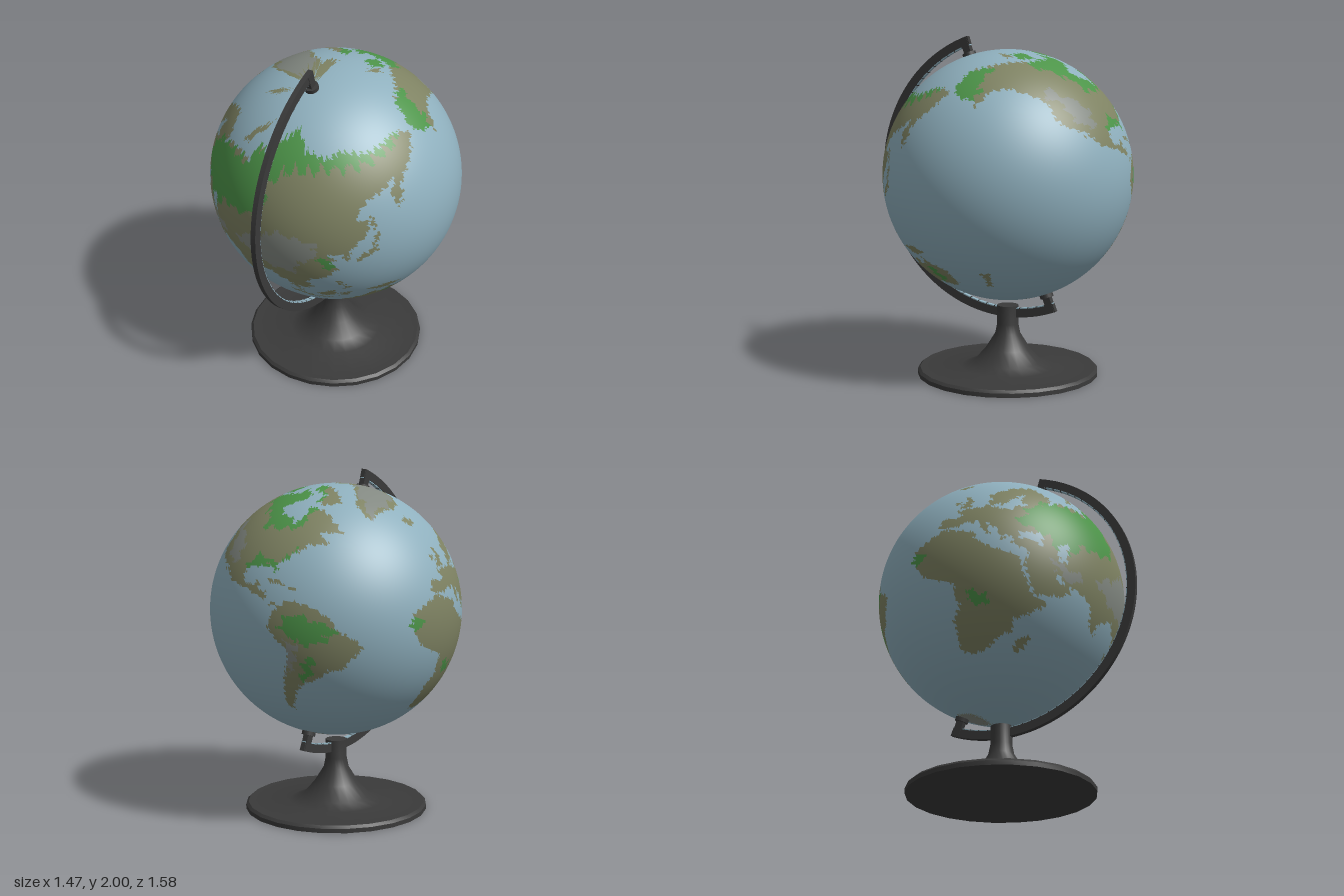
import * as THREE from 'three';
import { toCreasedNormals } from 'three/addons/utils/BufferGeometryUtils.js';

const flat = (name, color) => {
  const m = new THREE.MeshStandardMaterial({ color });
  m.name = name;
  return m;
};

const R = 0.734;                       // globe radius
const TILT = THREE.MathUtils.degToRad(20);
const CENTRE = [0, 1.19, -0.06];

// Coast outlines as longitude, latitude pairs
const LAND = {
  siberia: [60, 50, 60, 69, 68, 68, 70, 73, 80, 72, 87, 75, 104, 77.5, 113, 74, 128, 72, 140, 72.5, 160, 69.5, 180, 69, 190, 66,
    178, 62, 170, 60, 163, 58, 162, 55, 157, 51, 156, 57, 163, 61.5, 155, 59.5, 143, 59, 135, 54.5, 141, 52, 140, 50],
  asia: [53, 51, 141, 51, 139, 47, 132, 43, 128, 39, 129, 35.5, 126, 35, 125, 39.5, 121, 40, 118, 38.5, 122, 37, 119, 35, 122, 30,
    117, 23.5, 110, 21, 106, 19, 109, 12, 105, 9, 101, 13, 103, 2, 100, 7, 98, 14, 94, 17, 90, 22, 87, 21, 80, 15, 80, 11, 77.5, 8,
    73, 17, 72, 21, 67, 25, 57, 26, 51, 29, 48, 30, 44, 37, 50, 37, 54, 37, 53, 45],
  middleEast: [48, 42, 50, 37, 48, 30, 50, 29, 51.5, 24.5, 56, 26, 59.5, 22.5, 55, 17.5, 45, 12.8, 43, 13, 39, 21, 35, 28, 36, 36,
    30, 36.5, 27, 37, 27, 40.5, 35, 42, 41, 41],
  europe: [61, 52, 61, 69, 44, 67, 40, 64, 37, 65, 41, 67, 30, 70, 25, 71, 14, 68, 5, 61, 8, 58, 12, 56, 16, 56.5, 18, 60, 21, 64,
    25, 65.5, 22, 61, 29, 60, 23, 58.5, 20, 54.5, 11, 54, 10, 57.5, 8, 57, 8, 54, -1, 49.5, -5, 48.5, -1, 46, -2, 43.5, -9, 43,
    -9, 37, -5.5, 36, 0, 39, 3, 42, 9, 44, 15, 38, 16, 40, 13, 44.5, 19, 42, 23, 36.5, 24, 40.5, 29, 41, 29, 45, 33, 46, 39, 47,
    41, 41, 48, 42, 48, 46, 53, 47, 61, 50],
  britain: [-5, 50, 1, 51, 0, 53, -2, 56, -3, 58.5, -6, 57, -3, 54, -5, 52],
  ireland: [-10, 52, -6, 52, -6, 55, -9, 54],
  africa: [-6, 36, 10, 37, 11, 33.5, 20, 31, 32, 31, 37, 21, 43, 11.5, 51, 11.5, 46, 2, 39, -6, 40, -15, 35, -20, 33, -27, 27, -34,
    18, -34, 12, -18, 13, -8, 9, -1, 9, 4, -8, 4.5, -17, 14, -17, 21, -10, 30],
  madagascar: [44, -17, 49, -12, 50, -16, 47, -25, 44, -24],
  australia: [114, -22, 122, -18, 129, -15, 132, -11.5, 136, -12, 136, -16, 141, -17, 142.5, -11, 146, -19, 153, -26, 150, -37,
    144, -39, 138, -35, 132, -32, 124, -33.5, 116, -35],
  newGuinea: [131, -1, 141, -2.5, 150, -10, 143, -9, 138, -8],
  borneo: [109, 1, 117, 7, 118, 1, 115, -4, 110, -3],
  sumatra: [95, 5.5, 98, 4, 106, -4, 105, -6, 100, -1],
  java: [105, -6, 114, -7, 114, -8.5, 106, -7.5],
  sulawesi: [119, -5, 120, 1, 125, 1, 122, -5],
  philippines: [120, 18, 122, 18, 122, 13, 126, 7, 122, 8, 122, 12, 120, 14],
  ceylon: [80, 9.5, 82, 7.5, 80.5, 6],
  japan: [130, 32, 136, 34, 141, 36, 141, 41, 145, 43.5, 142, 45.5, 139, 38, 132, 35.5],
  sakhalin: [142, 46, 143.5, 49, 143, 54, 142, 54],
  newZealand: [167, -46, 172, -40, 173, -35, 178, -38, 171, -46],
  iceland: [-24, 65, -20, 63.5, -14, 65, -16, 66.5, -23, 66.3],
  northIslands: [52, 71, 57, 71, 68, 77, 58, 75],
  polarIslands: [11, 79, 17, 77, 25, 79.5, 18, 80],
  greenland: [-44, 60, -53, 66, -54, 70, -60, 75.5, -72, 78, -62, 81.5, -30, 82, -18, 80, -20, 74, -24, 70, -38, 65.5],
  northAmerica: [-168, 66, -156, 71, -128, 70, -114, 68, -95, 68, -94, 71, -85, 68, -82, 67, -87, 64, -94, 61, -93, 58.5, -82, 55,
    -80, 51.5, -79, 54.5, -77, 57.5, -78, 62, -70, 61, -65, 59, -60, 55, -56, 52, -66, 50, -65, 48, -60, 46, -66, 44, -70, 43,
    -70, 41.5, -76, 37, -76, 35, -81, 31, -80, 25.5, -83, 29.5, -90, 29.5, -97, 28, -97, 21, -95, 18.5, -91, 19, -87, 21.5, -88, 16,
    -83.5, 15, -83, 10, -78, 9, -80, 7.5, -86, 12, -95, 16, -105, 20, -109, 25.5, -113, 31, -115, 31, -110, 23, -117, 33, -121, 35,
    -124, 40, -124, 48, -130, 54, -139, 59.5, -148, 60.5, -158, 56.5, -157, 59, -165, 62],
  baffin: [-62, 66, -68, 63, -78, 65, -73, 68, -88, 71, -88, 73.5, -78, 73, -68, 70],
  victoria: [-117, 70, -105, 69, -105, 73, -117, 73],
  banks: [-125, 72, -120, 72, -118, 74, -123, 74.5],
  ellesmere: [-90, 77, -78, 76.5, -64, 81.5, -90, 81],
  cuba: [-85, 22, -80, 23.3, -74, 20, -78, 20],
  hispaniola: [-74, 18, -69, 18, -70, 20, -73, 20],
  southAmerica: [-72, 12, -62, 10.5, -51, 4.5, -50, 0, -44, -2.5, -35, -6, -39, -15, -41, -22, -48, -26, -53, -33, -58, -36,
    -62, -39, -65, -43, -66, -48, -69, -52, -66, -55, -74, -52, -73, -40, -71, -30, -70, -18, -76, -14, -81, -6, -80, 1, -77, 7],
  antarctica: [-10, -71, 30, -69, 50, -66.5, 110, -66, 145, -67, 168, -71, 168, -90, -10, -90],
};
const LOWLAND = {
  westPlain: [25, 50, 30, 60, 40, 66, 65, 68, 72, 73, 88, 73, 88, 58, 75, 52, 60, 50, 55, 43, 48, 43, 42, 47],
  arcticCoast: [85, 72, 88, 78, 115, 78, 185, 72, 180, 67.5, 150, 68, 125, 70, 100, 70, 85, 65],
  amazon: [-75, -2, -70, 3, -66, 4, -58, 2, -50, 1, -50, -3, -55, -10, -62, -14, -73, -8],
  parana: [-62, -20, -57, -20, -57, -33, -62, -36],
  shield: [-118, 75, -80, 75, -72, 62, -78, 50, -96, 50, -100, 57, -118, 68],
  gulfCoast: [-97, 26, -97, 31, -90, 36, -84, 31, -76, 38, -74, 40, -80, 24],
  northWest: [-166, 60, -155, 60, -150, 66, -140, 70, -158, 72, -168, 66],
  congo: [15, -4, 25, -4, 25, 3, 17, 3],
  sahel: [-18, 21, -10, 18, -10, 13, -18, 12],
  inland: [137, -32, 145, -34, 143, -22, 138, -17],
  eastPlain: [115, 30, 122, 31, 119, 39, 115, 38],
};
const HIGHLAND = {
  plateau: [72, 37, 80, 31, 92, 27.5, 102, 26, 104, 33, 110, 37, 116, 42, 112, 47, 100, 50, 90, 49, 85, 44, 78, 42],
  westPlateau: [45, 38, 50, 31, 58, 28, 63, 30, 62, 35, 52, 35],
  rockies: [-105, 32, -104, 42, -114, 50, -120, 55, -124, 54, -117, 45, -114, 36, -108, 30],
  andes: [-72, -12, -66, -15, -66, -26, -70, -33, -71, -20],
  iceSheet: [-44, 62, -50, 68, -58, 75, -64, 78.5, -35, 81, -22, 79, -24, 73, -38, 67],
  southIce: LAND.antarctica,
};

function inside(p, x, y) {
  let hit = false;
  for (let i = 0, j = p.length - 2; i < p.length; j = i, i += 2) {
    if ((p[i + 1] > y) !== (p[j + 1] > y) &&
      x < (p[j] - p[i]) * (y - p[i + 1]) / (p[j + 1] - p[i + 1]) + p[i]) hit = !hit;
  }
  return hit;
}
const within = (set, lon, lat) =>
  Object.values(set).some(p => inside(p, lon, lat) || inside(p, lon + 360, lat));

// 0 sea, 1 land, 2 lowland, 3 highland; the map sheet is stretched toward the poles
function terrain(v) {
  const sheetLat = THREE.MathUtils.radToDeg(Math.asin(v.y));
  let lon = 90 + THREE.MathUtils.radToDeg(Math.atan2(v.x, v.z));
  if (lon > 180) lon -= 360;
  const lat = THREE.MathUtils.radToDeg(Math.atan(Math.sinh((sheetLat + 16.2) / 39.3)));
  const x = lon + 0.7 * Math.sin(lat * 1.9) + 0.4 * Math.sin(lat * 4.3);
  const y = lat + 0.5 * Math.sin(lon * 1.3) + 0.3 * Math.sin(lon * 3.1);
  if (!within(LAND, x, y)) return 0;
  const wx = x + 1.5 * Math.sin(lat * 0.9), wy = y + 1.2 * Math.sin(lon * 0.7);
  return within(HIGHLAND, wx, wy) ? 3 : within(LOWLAND, wx, wy) ? 2 : 1;
}

// Sphere with its faces sorted into one geometry group per terrain
function globeGeometry() {
  const geo = new THREE.SphereGeometry(R, 300, 150);
  const pos = geo.attributes.position, index = geo.index.array;
  const bins = [[], [], [], []], c = new THREE.Vector3(), v = new THREE.Vector3();
  for (let i = 0; i < index.length; i += 3) {
    c.set(0, 0, 0);
    for (let k = 0; k < 3; k++) c.add(v.fromBufferAttribute(pos, index[i + k]));
    bins[terrain(c.normalize())].push(index[i], index[i + 1], index[i + 2]);
  }
  geo.setIndex(bins.flat());
  let start = 0;
  bins.forEach((b, m) => { geo.addGroup(start, b.length, m); start += b.length; });
  return geo;
}

// Curved bar in the vertical plane facing the side
function arcBar(inner, outer, width) {
  const a0 = THREE.MathUtils.degToRad(-112), a1 = THREE.MathUtils.degToRad(72);
  const s = new THREE.Shape();
  s.absarc(0, 0, outer, a0, a1, false);
  s.absarc(0, 0, inner, a1, a0, true);
  const g = new THREE.ExtrudeGeometry(s, { depth: width, bevelEnabled: false, curveSegments: 48 });
  g.translate(0, 0, -width / 2).rotateY(-Math.PI / 2);
  return toCreasedNormals(g, 0.5);
}

export function createModel() {
  const sea = flat('sea blue', 0x8fb0be), land = flat('land olive', 0x7f8363);
  const low = flat('lowland green', 0x4d9449), high = flat('highland grey', 0x838982);
  const dark = flat('dark plastic', 0x3a3a3a);
  const model = new THREE.Group();
  const add = (parent, name, geo, mat, x = 0, y = 0, z = 0) => {
    const m = new THREE.Mesh(geo, mat);
    m.name = name;
    m.position.set(x, y, z);
    parent.add(m);
    return m;
  };

  // Base and post
  const profile = [[0, 0], [0.54, 0], [0.54, 0.025], [0.525, 0.04], [0.28, 0.04], [0.2, 0.07], [0.13, 0.15],
    [0.075, 0.24], [0.063, 0.3], [0.063, 0.41], [0, 0.41]].map(p => new THREE.Vector2(...p));
  add(model, 'base', toCreasedNormals(new THREE.LatheGeometry(profile, 24), 0.6), dark, 0, 0, CENTRE[2]);

  // Meridian arm with its scale strip and tick marks
  const arm = new THREE.Group();
  arm.name = 'meridianArm';
  arm.position.set(...CENTRE);
  add(arm, 'armBar', arcBar(0.8, 0.85, 0.03), dark);
  add(arm, 'scaleStrip', arcBar(0.794, 0.8, 0.024), sea);
  for (let d = -108; d <= 68; d += 4) {
    const a = THREE.MathUtils.degToRad(d);
    const tick = add(arm, 'scaleTick', new THREE.BoxGeometry(0.025, 0.006, 0.007), dark, 0, 0.797 * Math.sin(a), 0.797 * Math.cos(a));
    tick.rotation.x = -a;
  }
  model.add(arm);

  // Tilted globe and the pivots at both poles
  const tilted = new THREE.Group();
  tilted.name = 'tiltedGlobe';
  tilted.position.set(...CENTRE);
  tilted.rotation.x = TILT;
  add(tilted, 'globe', globeGeometry(), [sea, land, low, high]);
  for (const s of [1, -1]) {
    add(tilted, 'pivotBlock', new THREE.BoxGeometry(0.036, 0.1, 0.045), dark, 0, s * 0.795, 0);
    add(tilted, 'pivotCap', new THREE.CylinderGeometry(0.04, 0.04, 0.026, 16), dark, 0, s * 0.743, 0);
  }
  model.add(tilted);
  return model;
}
